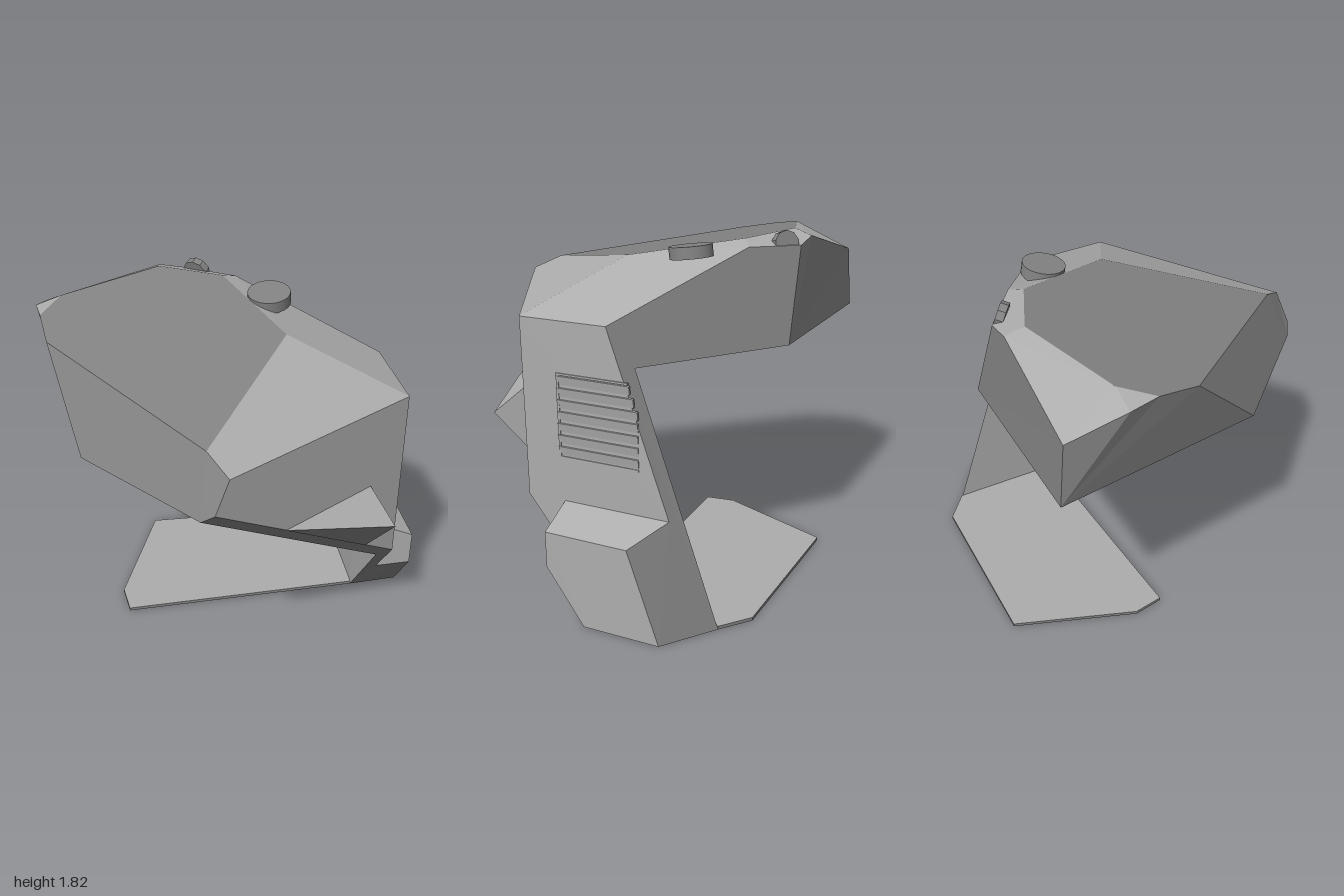
import * as THREE from 'three';

const grey = (color) => new THREE.MeshStandardMaterial({ color, flatShading: true });
const light = grey(0xadadad);
const dark = grey(0x838383);
const pale = grey(0xdddddd);
const darkSmooth = new THREE.MeshStandardMaterial({ color: 0x838383 });

// Corner points of the faceted C-shaped shell
const P = {
  // crown
  t1: [0.06, 1.699, 0.30], t2: [0.15, 1.788, -0.28], t3: [-0.04, 1.80, -0.565], t4: [-0.56, 1.745, -0.69],
  t5: [-0.73, 1.712, -0.62], t6: [-0.82, 1.673, -0.42], t7: [-0.72, 1.545, 0.65], t8: [-0.67, 1.70, -0.76],
  // shoulder line
  f1: [-0.72, 1.48, 0.80], f2: [0.36, 1.48, 0.83], g: [0.59, 1.48, 0.43], s2: [0.24, 1.76, -0.28],
  s3: [0.14, 1.745, -0.56], s4: [0.02, 1.77, -0.64], b: [-0.48, 1.60, -0.975],
  // underside of the head
  bb: [-0.48, 1.28, -1.0], sb: [0.31, 1.28, -0.48], ri: [0.60, 1.28, 0.30],
  la: [-0.94, 1.28, 0], lb: [-0.83, 1.28, 0.74], lc: [-0.80, 1.33, 0.80],
  // column
  p1: [0.36, 0.56, 0.83], k: [0.32, 0.505, 0.76], k0: [0.495, 0, 0.45], r0: [0.82, 0, -0.07],
  // heel block
  q1: [0.75, 0.56, 0.16], q2: [0.85, 0.475, 0.37], q3: [0.935, 0, 0.23], m1: [0.465, 0.56, 0.65],
  m2: [0.625, 0.475, 0.75], m3: [0.625, 0.285, 0.75], m4: [0.73, 0, 0.58], m5: [0.465, 0.28, 0.65],
  // cheek wedge
  w1: [-0.40, 1.062, 0.812], w2: [0.145, 1.062, 0.825], w3: [0.145, 0.92, 1.0], w4: [0.145, 0.70, 0.825],
};

function addMesh(parent, name, geometry, material) {
  const mesh = new THREE.Mesh(geometry, material);
  mesh.name = name;
  parent.add(mesh);
  return mesh;
}

// Each face is a list of point names, counter-clockwise from outside
function facets(faces) {
  const pos = [];
  for (const face of faces) {
    const c = face.split(' ').map((n) => P[n]);
    for (let i = 1; i < c.length - 1; i++) pos.push(...c[0], ...c[i], ...c[i + 1]);
  }
  const geo = new THREE.BufferGeometry();
  geo.setAttribute('position', new THREE.Float32BufferAttribute(pos, 3));
  geo.computeVertexNormals();
  return geo;
}

export function createModel() {
  const model = new THREE.Group();
  model.name = 'angularStation';

  addMesh(model, 'crown', facets(['t1 t2 t3 t4 t5 t6 t7']), dark);

  addMesh(model, 'headShell', facets([
    't1 t7 f1 f2',                          // front chamfer
    't1 f2 g s2 t2', 's2 s3 t3 t2',         // outer chamfer
    't3 s3 s4', 't4 t3 s4 b', 't4 b t8 t5', // rear chamfer
    'ri lb la bb sb',                       // underside
  ]), light);

  addMesh(model, 'headSides', facets([
    'sb bb b s4 s3',                        // rear wall
    'ri sb s3 s2 g',                        // side wall
    'lb lc f1 t7 t6 la',                    // far end
    'bb la t6', 'bb t6 t5 t8 b',            // rear corner
  ]), dark);

  addMesh(model, 'columnShell', facets([
    'f1 lc p1 f2',                          // front wall
    'f2 p1 m1 q1 g', 'p1 m5 m1',            // grille wall
    'ri r0 k0 k',                           // inner wall
    'r0 q3 m4 k0',                          // sole
  ]), light);

  addMesh(model, 'columnSides', facets([
    'g q1 r0 ri', 'q1 q2 q3 r0',            // side wall
    'lc lb k p1',                           // sloping lower edge
    'k0 m4 m3 m5 p1 k',
  ]), dark);

  addMesh(model, 'gusset', facets(['ri k lb']), pale);
  addMesh(model, 'heelBlock', facets(['m1 m2 q2 q1', 'm2 m3 m4 q3 q2', 'm1 m5 m3 m2']), light);
  addMesh(model, 'cheekWedge', facets(['w1 w3 w2', 'w2 w3 w4']), light);
  addMesh(model, 'cheekWedgeUnderside', facets(['w1 w4 w3']), dark);

  // Flat base plate with dark edges
  const outline = [[0.82, -0.07], [0.76, -0.25], [-0.02, -0.76], [-0.55, -0.35], [-0.615, -0.20], [0.495, 0.45]];
  const plateShape = new THREE.Shape(outline.map(([x, z]) => new THREE.Vector2(x, -z)));
  const plateGeo = new THREE.ExtrudeGeometry(plateShape, { depth: 0.018, bevelEnabled: false });
  addMesh(model, 'basePlate', plateGeo.rotateX(-Math.PI / 2), [light, dark]);

  // Round knob, parallel to the crown
  const knob = addMesh(model, 'knob', new THREE.CylinderGeometry(0.108, 0.108, 0.06, 32), darkSmooth);
  knob.position.set(0.22, 1.742, 0);
  knob.rotation.set(0.08, 0, 0.12);

  // Small rounded fin, flush with the side wall
  const fin = addMesh(model, 'fin', new THREE.CylinderGeometry(0.07, 0.07, 0.04, 10), dark);
  fin.position.set(0.142, 1.75, -0.48);
  fin.quaternion.setFromUnitVectors(new THREE.Vector3(0, 1, 0), new THREE.Vector3(0.9, 0.27, -0.34).normalize());

  // Louvred grille, laid out along the column's outer wall
  const grille = new THREE.Group();
  grille.name = 'grille';
  grille.position.set(0.36, 0, 0.83);
  grille.rotation.y = Math.PI / 3;
  model.add(grille);
  const start = 0.19;
  const addBar = (name, y, height, end) => {
    const bar = addMesh(grille, name, new THREE.BoxGeometry(end - start, height, 0.012), light);
    bar.position.set((start + end) / 2, y, 0);
    return bar;
  };
  for (let i = 0; i < 7; i++) {
    const y = 0.83 + i * 0.06;
    const end = Math.min(0.62, 0.48 + (1.48 - y) * 0.34);
    addBar('slat', y, 0.044, end).rotation.x = 0.15;
  }
  addBar('grilleTop', 1.22, 0.01, 0.57);
  addBar('grilleBottom', 0.795, 0.01, 0.62);
  addBar('grilleEnd', 1.008, 0.43, start + 0.012);

  return model;
}
